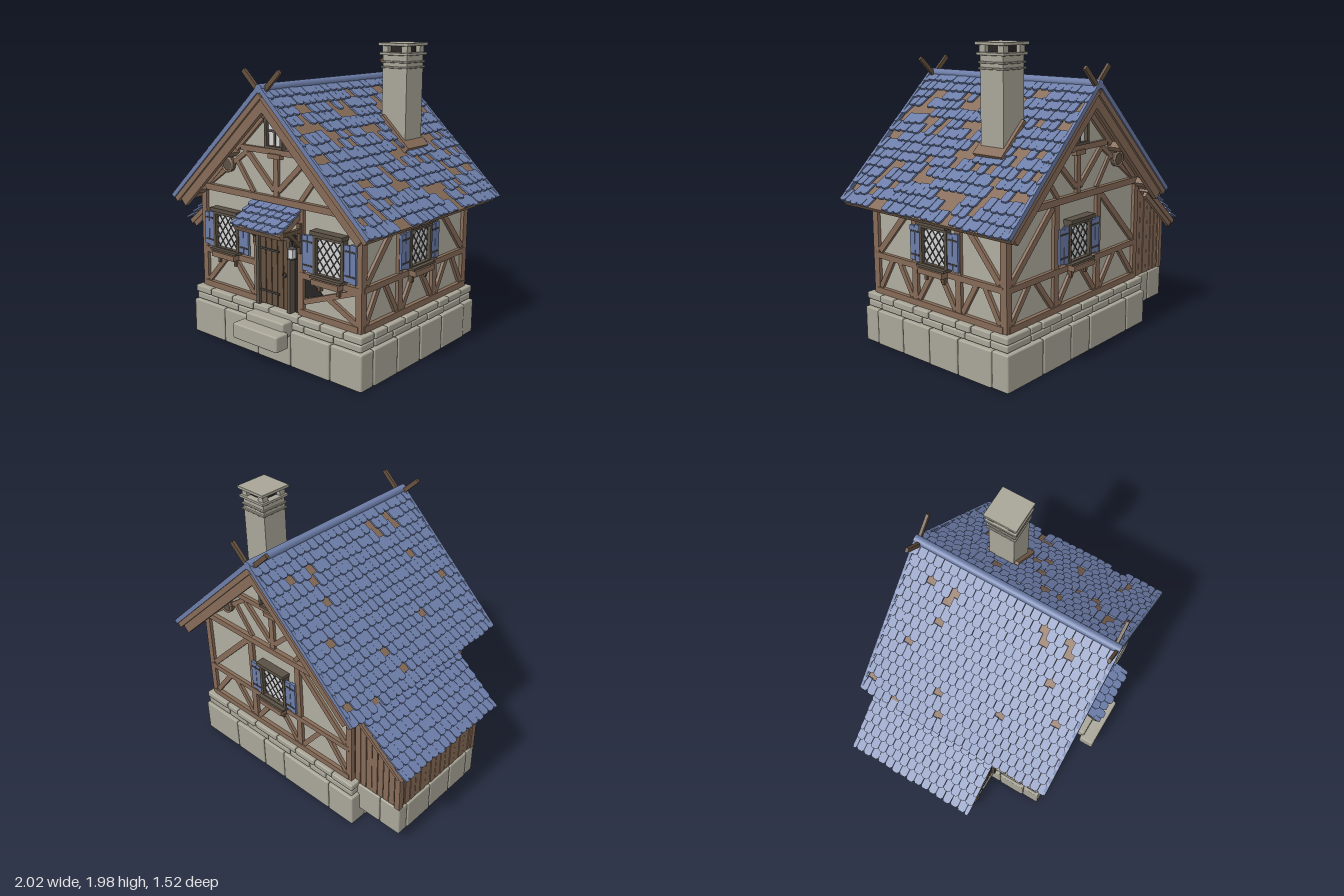
import * as THREE from 'three';
import { mergeGeometries } from 'three/addons/utils/BufferGeometryUtils.js';
import { RoundedBoxGeometry } from 'three/addons/geometries/RoundedBoxGeometry.js';

const material = (name, color) => Object.assign(new THREE.MeshStandardMaterial({ color }), { name });
const M = {
  stone: material('stone', 0xa9a698), plaster: material('plaster', 0xb0ad9f),
  timber: material('timber', 0x866b57), darkWood: material('darkWood', 0x65513f),
  tile: material('blueTile', 0x6c7da8), glass: material('glass', 0xd3d5d8),
  frame: material('windowFrame', 0x5a5145), iron: material('iron', 0x45423f),
  shadow: material('darkInterior', 0x282524),
};

let seed = 7;
const rnd = () => (seed = (seed * 16807) % 2147483647) / 2147483647;

function add(parent, name, mat, geo, x = 0, y = 0, z = 0) {
  const m = new THREE.Mesh(geo, mat);
  m.name = name;
  m.position.set(x, y, z);
  parent.add(m);
  return m;
}
const box = (p, name, mat, w, h, d, x, y, z) => add(p, name, mat, new THREE.BoxGeometry(w, h, d), x, y, z);
function group(parent, name, x = 0, y = 0, z = 0, yaw = 0) {
  const g = new THREE.Group();
  g.name = name;
  g.position.set(x, y, z);
  g.rotation.y = yaw;
  parent.add(g);
  return g;
}
// A straight timber between two points on a wall plane
function bar(g, name, mat, u0, v0, u1, v1, w = 0.04, d = 0.03, z = 0.005) {
  const m = box(g, name, mat, Math.hypot(u1 - u0, v1 - v0), w, d, (u0 + u1) / 2, (v0 + v1) / 2, z);
  m.rotation.z = Math.atan2(v1 - v0, u1 - u0);
  return m;
}
function extrude(points, depth) {
  const s = new THREE.Shape(points.map(p => new THREE.Vector2(...p)));
  return new THREE.ExtrudeGeometry(s, { depth, bevelEnabled: false });
}

// Boarded roof slope with courses of clipped tiles; local x runs down the slope
function slope(parent, name, [x, y, z], yaw, pitch, L, W, rows, cols, miss) {
  const g = group(parent, name, x, y, z);
  g.rotation.set(0, yaw, -pitch, 'YXZ');
  box(g, 'roofBoards', M.timber, L, 0.035, W - 0.02, L / 2, -0.018, 0);
  const e = L / rows, len = e + 0.025, cw = W / cols, h = 0.48;
  const tile = extrude([[0, -h], [len - 0.014, -h], [len, -h + 0.2], [len, h - 0.2], [len - 0.014, h], [0, h]], 0.012);
  tile.rotateX(-Math.PI / 2).rotateZ(0.2);
  const tiles = [];
  for (let r = 0; r < rows; r++) {
    let gone = false;
    for (let c = 0; c <= cols; c++) {
      const a = (c - (r % 2) / 2) * cw - W / 2, z0 = Math.max(a, -W / 2), z1 = Math.min(a + cw, W / 2);
      if (z1 - z0 < 0.01) continue;
      gone = rnd() < (gone ? miss * 2.2 : miss) && r > 0;
      if (gone) continue;
      const t = tile.clone().scale(1, 1, z1 - z0);
      tiles.push(t.translate(r * e - 0.012 + (rnd() - 0.5) * 0.012, rnd() * 0.004, (z0 + z1) / 2));
    }
  }
  add(g, 'tiles', M.tile, mergeGeometries(tiles));
  return g;
}

// Ring of rounded blocks around a rectangle
function blockCourse(parent, name, x0, x1, z0, z1, y0, y1, size, t) {
  const g = group(parent, name);
  const run = (a, b, place) => {
    const n = Math.max(1, Math.round((b - a) / size));
    const cuts = Array.from({ length: n + 1 }, (_, i) => a + (b - a) * (i + (i && i < n ? (rnd() - 0.5) * 0.5 : 0)) / n);
    for (let i = 0; i < n; i++) place((cuts[i] + cuts[i + 1]) / 2, cuts[i + 1] - cuts[i] - 0.005);
  };
  const block = (w, d, x, z) => add(g, 'block', M.stone,
    new RoundedBoxGeometry(w, y1 - y0 - 0.004, d, 1, 0.01), x, (y0 + y1) / 2, z);
  for (const z of [z0 + t / 2, z1 - t / 2]) run(x0, x1, (c, w) => block(w, t + rnd() * 0.01, c, z));
  for (const x of [x0 + t / 2, x1 - t / 2]) run(z0 + t, z1 - t, (c, w) => block(t + rnd() * 0.01, w, x, c));
}

// Leaded window with shutters and planter shelf
function latticeWindow(wall, u) {
  const g = group(wall, 'window', u, 0.755, 0), a = 0.1, b = 0.115, k = 1.3;
  box(g, 'glass', M.glass, 2 * a, 2 * b, 0.008, 0, 0, 0.012);
  for (const s of [-1, 1]) {
    box(g, 'frameSide', M.frame, 0.022, 2 * b + 0.04, 0.045, s * (a + 0.008), 0, 0.02);
    box(g, 'frameRail', M.frame, 2 * a, 0.02, 0.045, 0, s * (b + 0.006), 0.02);
    for (let c = -0.21; c < 0.22; c += 0.07) {
      const l = Math.max(-a, (-b - c) / k), r = Math.min(a, (b - c) / k);
      if (r - l > 0.01) bar(g, 'lead', M.iron, s * l, k * l + c, s * r, k * r + c, 0.006, 0.006, 0.018);
    }
    const sh = group(g, 'shutter', s * (a + 0.063), 0, 0.028);
    for (const i of [-1, 1]) box(sh, 'shutterPlank', M.tile, 0.042, 0.23 + i * 0.008, 0.018, i * 0.0225, 0, 0);
    for (const i of [-1, 1]) box(sh, 'shutterHinge', M.iron, 0.07, 0.01, 0.006, 0, i * 0.075, 0.01);
    bar(g, 'shelfBracket', M.darkWood, s * 0.075, -0.16, s * 0.075, -0.22, 0.02, 0.03, 0.02);
  }
  box(g, 'lintel', M.frame, 0.25, 0.025, 0.065, 0, 0.145, 0.03);
  box(g, 'sill', M.frame, 0.24, 0.015, 0.07, 0, -0.125, 0.035);
  box(g, 'planter', M.timber, 0.21, 0.035, 0.06, 0, -0.155, 0.045);
}

// Upper gable framing, small window and round vents
function gable(wall, c) {
  const g = group(wall, 'gableFrame', c, 0, 0);
  bar(g, 'tieBeam', M.timber, -0.73, 1.04, 0.73, 1.04, 0.042, 0.05);
  bar(g, 'collarBeam', M.timber, -0.3, 1.34, 0.3, 1.34, 0.036, 0.036);
  bar(g, 'kingPost', M.timber, 0, 1.05, 0, 1.33);
  box(g, 'postCap', M.timber, 0.1, 0.03, 0.05, 0, 1.315, 0.01);
  for (const s of [-1, 1]) {
    bar(g, 'rakeBeam', M.timber, s * 0.68, 1.025, 0, 1.66, 0.05, 0.034);
    bar(g, 'innerBrace', M.timber, s * 0.24, 1.31, s * 0.02, 1.1, 0.034);
    bar(g, 'outerBrace', M.timber, s * 0.62, 1.06, s * 0.25, 1.32, 0.03, 0.026);
    bar(g, 'lowBrace', M.timber, s * 0.34, 1.24, s * 0.2, 1.06, 0.03, 0.022);
    const vent = add(g, 'roundVent', M.frame, new THREE.CylinderGeometry(0.05, 0.05, 0.03, 20), s * 0.417, 1.215, 0.02);
    vent.rotation.x = Math.PI / 2;
    add(g, 'ventRing', M.timber, new THREE.TorusGeometry(0.045, 0.008, 6, 20), s * 0.417, 1.215, 0.034);
    box(g, 'atticFrameSide', M.frame, 0.02, 0.18, 0.04, s * 0.065, 1.455, 0.02);
    box(g, 'atticFrameRail', M.frame, 0.15, 0.018, 0.04, 0, 1.455 + s * 0.085, 0.021);
  }
  box(g, 'atticGlass', M.glass, 0.12, 0.16, 0.008, 0, 1.455, 0.014);
  box(g, 'atticMullion', M.frame, 0.014, 0.16, 0.012, 0, 1.455, 0.02);
  box(g, 'atticTransom', M.frame, 0.12, 0.014, 0.012, 0, 1.47, 0.02);
  box(g, 'atticLintel', M.frame, 0.175, 0.018, 0.055, 0, 1.555, 0.025);
}

// Posts and rails with inverted-V braces in the lower panels
function framing(wall, posts, top, skip = -1) {
  posts.forEach(u => bar(wall, 'post', M.timber, u, 0.34, u, top, 0.045, 0.035));
  for (let i = 0; i + 1 < posts.length; i++) {
    if (i === skip) continue;
    const a = posts[i], b = posts[i + 1], m = (a + b) / 2;
    bar(wall, 'sillBeam', M.timber, a, 0.36, b, 0.36, 0.04, 0.045);
    bar(wall, 'midRail', M.timber, a, 0.6, b, 0.6, 0.038, 0.04);
    if (skip === 1 && i === 2) continue;
    bar(wall, 'lowBrace', M.timber, a + 0.03, 0.385, m - 0.035, 0.585, 0.034);
    bar(wall, 'lowBrace', M.timber, b - 0.03, 0.385, m + 0.035, 0.585, 0.034);
  }
}

// Plank door with straps, frame and ring handle
function door(parent, x, y, z, w, h) {
  const g = group(parent, 'door', x, y, z), n = 5;
  box(g, 'doorBack', M.shadow, w, h, 0.01, 0, h / 2, 0);
  for (let i = 0; i < n; i++) box(g, 'doorPlank', M.darkWood, w / n - 0.006, h - 0.01, 0.02, (i - 2) * w / n, h / 2, 0.008);
  for (const s of [-1, 1]) {
    box(g, 'jamb', M.frame, 0.025, h + 0.02, 0.05, s * (w / 2 + 0.01), h / 2, 0.012);
    box(g, 'strapHinge', M.iron, w * 0.65, 0.012, 0.008, -w * 0.16, h * (0.5 + s * 0.3), 0.021);
  }
  box(g, 'doorHead', M.frame, w + 0.06, 0.025, 0.055, 0, h + 0.01, 0.014);
  add(g, 'ringHandle', M.iron, new THREE.TorusGeometry(0.015, 0.004, 6, 12), w * 0.36, h * 0.5, 0.025);
}

export function createModel() {
  const house = new THREE.Group();
  house.name = 'timberCottage';

  // Hollow stone base
  blockCourse(house, 'baseCourse', -0.575, 0.89, -0.65, 0.6, 0, 0.24, 0.27, 0.12);
  blockCourse(house, 'middleCourse', -0.56, 0.875, -0.635, 0.585, 0.24, 0.29, 0.2, 0.13);
  blockCourse(house, 'topCourse', -0.565, 0.88, -0.64, 0.59, 0.29, 0.342, 0.17, 0.13);
  blockCourse(house, 'shedBase', -0.91, -0.53, -0.58, 0.215, 0.1, 0.32, 0.2, 0.08);
  box(house, 'floor', M.shadow, 1.3, 0.02, 1.1, 0.155, 0.32, -0.03);
  add(house, 'upperStep', M.stone, new RoundedBoxGeometry(0.33, 0.1, 0.1, 1, 0.012), 0.165, 0.255, 0.62);
  add(house, 'lowerStep', M.stone, new RoundedBoxGeometry(0.385, 0.105, 0.11, 1, 0.012), 0.167, 0.2, 0.705);

  // Plaster body
  add(house, 'plasterWalls', M.plaster, extrude(
    [[-0.5, 0.335], [0.82, 0.335], [0.82, 1.045], [0.16, 1.67], [-0.5, 1.045]], 1.11), 0, 0, -0.585);
  const front = group(house, 'frontWall', 0, 0, 0.525), back = group(house, 'backWall', 0, 0, -0.585, Math.PI);
  const right = group(house, 'leftSideWall', 0.82, 0, 0, Math.PI / 2);
  const left = group(house, 'rightSideWall', -0.5, 0, 0, -Math.PI / 2);

  framing(front, [-0.505, -0.015, 0.365, 0.82], 1.03, 1);
  gable(front, 0.16);
  latticeWindow(front, -0.28);
  latticeWindow(front, 0.6);
  bar(front, 'lowBrace', M.timber, 0.39, 0.43, 0.8, 0.585, 0.034);
  bar(front, 'lowBrace', M.timber, 0.58, 0.5, 0.8, 0.39, 0.034);
  add(front, 'bareInfill', M.shadow, extrude([[0.385, 0.45], [0.54, 0.5], [0.385, 0.6]], 0.004));
  box(front, 'doorRecess', M.shadow, 0.34, 0.5, 0.008, 0.175, 0.59, 0.003);
  door(front, 0.158, 0.345, 0.015, 0.25, 0.465);

  framing(back, [-0.82, -0.38, 0.06, 0.505], 1.03);
  gable(back, -0.16);
  latticeWindow(back, -0.16);
  bar(back, 'longBrace', M.timber, -0.79, 0.63, -0.41, 1.01);
  bar(back, 'longBrace', M.timber, 0.475, 0.63, 0.09, 1.01);

  framing(right, [-0.52, -0.158, 0.22, 0.58], 1.03);
  latticeWindow(right, 0.03);
  bar(right, 'longBrace', M.timber, -0.49, 0.63, -0.18, 0.98);
  bar(right, 'longBrace', M.timber, 0.55, 0.63, 0.245, 0.98);
  bar(right, 'wallPlate', M.timber, -0.53, 1.0, 0.59, 1.0);
  framing(left, [-0.58, 0.22, 0.52], 1.03);
  bar(left, 'longBrace', M.timber, 0.25, 0.98, 0.5, 0.63);

  // Main roof, with barge boards and crossed horns
  const L = 1.12, W = 1.44, pitch = Math.atan2(0.77, 0.815);
  for (const [name, yaw, miss] of [['leftRoof', 0, 0.13], ['rightRoof', Math.PI, 0.025]]) {
    const g = slope(house, name, [0.16, 1.725, -0.035], yaw, pitch, L, W, 15, 25, miss);
    for (const s of [-1, 1]) {
      box(g, 'vergeTile', M.tile, L, 0.03, 0.02, L / 2, 0.014, s * (W / 2 - 0.01));
      box(g, 'bargeBoard', M.timber, L - 0.03, 0.07, 0.03, L / 2 - 0.015, -0.06, s * (W / 2 - 0.04));
      box(g, 'crossedHorn', M.darkWood, 0.22, 0.03, 0.02, -0.07, -0.01, s * (W / 2 - 0.03) + 0.011);
    }
    for (const x of [0.55, 0.96]) box(g, 'purlin', M.timber, 0.045, 0.05, W - 0.1, x, -0.055, 0);
    if (!yaw) box(g, 'chimneyFlashing', M.timber, 0.29, 0.07, 0.23, 0.485, 0.01, -0.25);
  }
  const ridge = add(house, 'ridgeCap', M.tile, new THREE.CylinderGeometry(0.028, 0.028, W, 10), 0.16, 1.738, -0.035);
  ridge.rotation.x = Math.PI / 2;

  // Chimney
  const ch = group(house, 'chimney', 0.508, 0, -0.287);
  box(ch, 'shaft', M.stone, 0.188, 0.62, 0.18, 0, 1.6, 0);
  for (const [y, w, h] of [[1.83, 0.205, 0.012], [1.865, 0.205, 0.012], [1.915, 0.22, 0.018], [1.975, 0.23, 0.02]])
    add(ch, 'band', M.stone, new RoundedBoxGeometry(w, h, w, 1, 0.004), 0, y, 0);
  box(ch, 'flue', M.shadow, 0.13, 0.045, 0.13, 0, 1.945, 0);
  for (const x of [-1, 1]) for (const z of [-1, 1]) box(ch, 'capPier', M.stone, 0.045, 0.05, 0.045, x * 0.074, 1.945, z * 0.072);

  // Lean-to shed with plank walls
  const shed = group(house, 'shed'), roofY = x => 0.63 + (x + 0.98) * 0.84;
  add(shed, 'shedCore', M.shadow, extrude(
    [[-0.885, 0.31], [-0.5, 0.31], [-0.5, roofY(-0.6)], [-0.62, roofY(-0.62)], [-0.885, roofY(-0.885)]], 0.76), 0, 0, -0.56);
  for (let i = 0; i < 8; i++) {
    const x0 = -0.9 + i * 0.047, x1 = x0 + 0.042;
    const plank = extrude([[x0, 0.32], [x1, 0.32], [x1, roofY(Math.min(x1, -0.58))], [x0, roofY(Math.min(x0, -0.58))]], 0.015);
    for (const z of [0.197, -0.573]) add(shed, 'wallPlank', M.timber, plank, 0, 0, z + rnd() * 0.004);
  }
  for (let i = 0; i < 15; i++)
    box(shed, 'sidePlank', M.timber, 0.015, 0.38, 0.046, -0.892 + rnd() * 0.004, 0.51, -0.545 + i * 0.0515);
  for (const z of [0.195, -0.565]) box(shed, 'cornerPost', M.timber, 0.04, 0.38, 0.04, -0.887, 0.51, z);
  door(shed, -0.705, 0.32, 0.215, 0.21, 0.39);
  const sr = slope(shed, 'shedRoof', [-0.62, 0.965, -0.18], Math.PI, Math.atan2(0.3, 0.36), 0.465, 0.94, 6, 16, 0);
  for (const s of [-1, 1]) box(sr, 'shedBargeBoard', M.timber, 0.44, 0.045, 0.025, 0.23, -0.045, s * 0.44);

  // Porch hood, brackets and lantern
  const porch = group(house, 'porch');
  slope(porch, 'porchRoof', [0.165, 1.005, 0.525], -Math.PI / 2, 0.54, 0.24, 0.42, 4, 7, 0);
  for (const x of [-0.015, 0.365]) {
    const side = group(porch, 'bracket', x, 0, 0.525, -Math.PI / 2);
    bar(side, 'bracketArm', M.darkWood, 0, 0.885, 0.17, 0.885, 0.025, 0.028, 0);
    bar(side, 'bracketStrut', M.darkWood, 0.01, 0.77, 0.13, 0.88, 0.022, 0.024, 0);
    bar(side, 'bracketPost', M.darkWood, 0.025, 0.74, 0.025, 0.93, 0.025, 0.028, 0);
  }
  const lamp = group(porch, 'lantern', 0.365, 0.755, 0.62);
  box(lamp, 'lanternGlass', M.glass, 0.034, 0.06, 0.034, 0, 0, 0);
  const cap = add(lamp, 'lanternCap', M.iron, new THREE.ConeGeometry(0.032, 0.02, 4), 0, 0.04, 0);
  cap.rotation.y = Math.PI / 4;
  box(lamp, 'lanternBase', M.iron, 0.04, 0.008, 0.04, 0, -0.033, 0);
  box(lamp, 'lanternRod', M.iron, 0.006, 0.09, 0.006, 0, 0.085, 0);
  return house;
}
